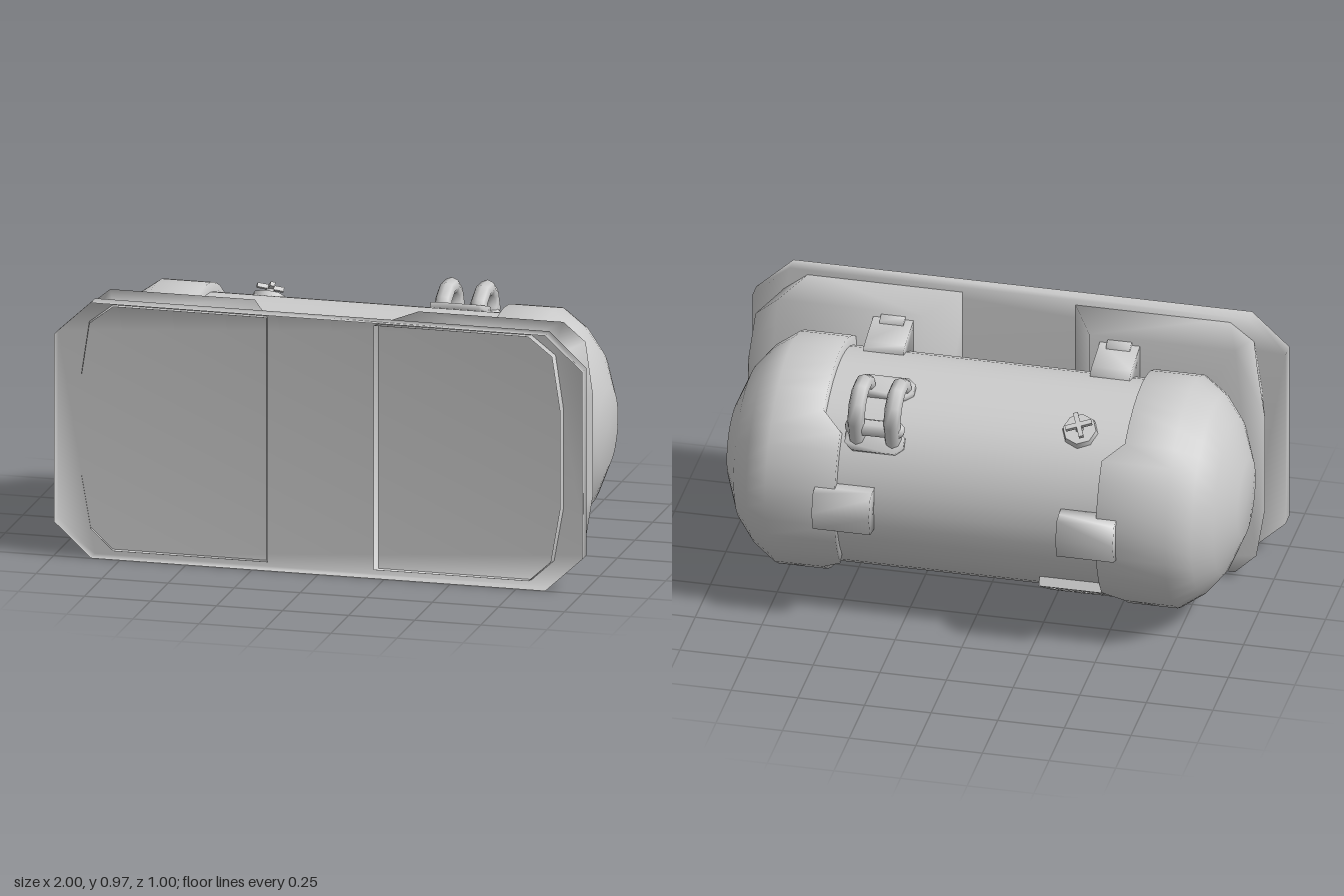
import * as THREE from 'three';
import { mergeVertices } from 'three/addons/utils/BufferGeometryUtils.js';

const CY = 0.485, CZ = -0.02, R = 0.395; // tank axis and radius

export function createModel() {
  const model = new THREE.Group();
  const solid = new THREE.MeshStandardMaterial({ color: 0xcccccc });
  const shell = new THREE.MeshStandardMaterial({ color: 0xcccccc, side: THREE.DoubleSide });

  const add = (name, geo, parent = model, mat = solid) => {
    const mesh = new THREE.Mesh(geo, mat);
    mesh.name = name;
    parent.add(mesh);
  };
  // Welds all corners so the shading runs softly over the edges
  const smooth = (geo) => {
    geo.deleteAttribute('normal');
    geo.deleteAttribute('uv');
    const g = mergeVertices(geo, 1e-4);
    g.computeVertexNormals();
    return g;
  };
  // Reflects a geometry across one axis and restores the winding
  const mirror = (geo, axis) => {
    const g = geo.clone();
    for (const a of [g.attributes.position, g.attributes.normal]) {
      for (let i = 0; i < a.count; i++) a.setComponent(i, axis, -a.getComponent(i, axis));
    }
    g.index.array.reverse();
    return g;
  };
  const addPair = (name, geo, mat) => {
    add('left' + name, geo, model, mat);
    add('right' + name, mirror(geo, 0), model, mat);
  };
  const toShape = (pts) => new THREE.Shape(pts.map(([x, y]) => new THREE.Vector2(x, y)));
  // Extrudes a [z, y] profile along x
  const extrudeX = (pts, x0, x1) =>
    smooth(new THREE.ExtrudeGeometry(toShape(pts), { depth: x1 - x0, bevelEnabled: false })
      .rotateY(-Math.PI / 2).translate(x1, 0, 0));
  // Thin-walled tray: an extruded outline from z0 to z1 without its front face
  const tray = (pts, z0, z1) => {
    const g = new THREE.ExtrudeGeometry(toShape(pts), { depth: z1 - z0, bevelEnabled: false })
      .translate(0, 0, z0);
    const p = g.attributes.position.array;
    const kept = [];
    for (let i = 0; i < p.length; i += 9) {
      if (Math.min(p[i + 2], p[i + 5], p[i + 8]) < z1 - 0.01) kept.push(...p.slice(i, i + 9));
    }
    return new THREE.BufferGeometry()
      .setAttribute('position', new THREE.Float32BufferAttribute(kept, 3));
  };
  // Group on the tank wall; angle runs from the top towards the back
  const mount = (name, x, deg) => {
    const a = THREE.MathUtils.degToRad(deg);
    const g = new THREE.Group();
    g.name = name;
    g.position.set(x, CY + R * Math.cos(a), CZ - R * Math.sin(a));
    g.rotation.x = -a;
    model.add(g);
    return g;
  };

  // Dished front plate
  add('frontPlate', smooth(tray([[-0.86, 0], [0.86, 0], [1, 0.13], [1, 0.84], [0.86, 0.97],
    [-0.86, 0.97], [-1, 0.84], [-1, 0.13]], 0.435, 0.498)), model, shell);

  // Mounting blocks lean outward towards the back; their front lips pierce the plate
  const blockGeo = tray([[0.2, 0.022], [0.785, 0.022], [0.87, 0.1], [0.905, 0.3], [0.905, 0.68],
    [0.875, 0.88], [0.785, 0.95], [0.2, 0.95]], 0.232, 0.46);
  const bp = blockGeo.attributes.position;
  for (let i = 0; i < bp.count; i++) {
    const x = bp.getX(i);
    if (bp.getZ(i) < 0.3) bp.setX(i, x + 0.11 - 0.045 * (x - 0.2) / 0.705);
  }
  addPair('MountingBlock', smooth(blockGeo), shell);

  // Tank body
  add('tankBody', new THREE.CylinderGeometry(R, R, 1.2, 36, 1, true)
    .rotateZ(-Math.PI / 2).translate(0, CY, CZ));

  // Domed end caps; the rim reaches further in at the back clip
  const capProfile = [[0.38, 0.56], [0.43, 0.565], [0.43, 0.75], [0.37, 0.835], [0.29, 0.9],
    [0.15, 0.958], [0, 0.962]].map(([r, x]) => new THREE.Vector2(r, x));
  const capGeo = new THREE.LatheGeometry(capProfile, 36).rotateZ(-Math.PI / 2);
  const cp = capGeo.attributes.position;
  for (let i = 0; i < cp.count; i++) {
    const r = Math.hypot(cp.getY(i), cp.getZ(i));
    if (cp.getX(i) < 0.57 && -cp.getZ(i) > r * Math.cos(0.72)) cp.setX(i, 0.49);
  }
  addPair('EndCap', smooth(capGeo).translate(0, CY, CZ));

  // Clips behind the cap rims
  addPair('BackClip', extrudeX([[-0.38, 0.575], [-0.44, 0.57], [-0.475, 0.56], [-0.497, 0.487],
    [-0.475, 0.413], [-0.44, 0.405], [-0.38, 0.4]], 0.35, 0.565));

  // Brackets joining the tank to the blocks, above and below, each with a raised stop
  const bracket = extrudeX([[0.07, 0.82], [0.3, 0.7], [0.3, 0.935], [0.235, 0.925],
    [0.1, 0.893], [0.07, 0.88]], 0.35, 0.5);
  const stop = extrudeX([[0.195, 0.88], [0.26, 0.88], [0.26, 0.935], [0.225, 0.938],
    [0.2, 0.925]], 0.38, 0.47);
  for (const [part, geo] of [['Bracket', bracket], ['BracketStop', stop]]) {
    addPair('Upper' + part, geo);
    addPair('Lower' + part, mirror(geo.clone().translate(0, -CY, 0), 1).translate(0, CY, 0));
  }

  // Carrying handle: two bent bars, a crossbar and foot pads
  const path = [[0.82, -0.16], [0.88, -0.175], [0.918, -0.25], [0.893, -0.325],
    [0.825, -0.36], [0.76, -0.34], [0.7, -0.32]].map(([y, z]) => new THREE.Vector3(0, y, z));
  const bar = new THREE.CurvePath();
  for (let i = 1; i < path.length; i++) bar.add(new THREE.LineCurve3(path[i - 1], path[i]));
  for (const x of [0.295, 0.43]) {
    add('handleBar', new THREE.TubeGeometry(bar, 7, 0.032, 8).translate(x, 0, 0));
  }
  add('handleCrossbar', new THREE.CapsuleGeometry(0.032, 0.16, 3, 8)
    .rotateZ(Math.PI / 2).translate(0.363, 0.785, -0.338));
  const padShape = toShape([[-0.11, -0.02], [-0.08, -0.045], [0.08, -0.045], [0.11, -0.02],
    [0.11, 0.02], [0.08, 0.045], [-0.08, 0.045], [-0.11, 0.02]]);
  for (const deg of [21, 52]) {
    add('handlePad', smooth(new THREE.ExtrudeGeometry(padShape, { depth: 0.03, bevelEnabled: false })
      .rotateX(-Math.PI / 2).translate(0, -0.012, 0)), mount('handleFoot', 0.363, deg));
  }

  // Valve with a cross-shaped grip
  const valve = mount('valve', -0.385, 34);
  add('valveBase', new THREE.CylinderGeometry(0.062, 0.07, 0.04, 8), valve);
  add('valveStem', new THREE.CylinderGeometry(0.015, 0.015, 0.05, 8).translate(0, 0.025, 0), valve);
  for (const a of [0.4, 0.4 + Math.PI / 2]) {
    add('valveGrip', new THREE.BoxGeometry(0.1, 0.016, 0.018).rotateY(a).translate(0, 0.05, 0), valve);
  }

  // Vent on the lower back: frame with three round slats
  const vent = mount('vent', -0.37, 148);
  for (const s of [-1, 1]) {
    add('ventFrameSide', new THREE.BoxGeometry(0.025, 0.05, 0.25).translate(s * 0.105, -0.01, 0), vent);
    add('ventFrameEnd', new THREE.BoxGeometry(0.185, 0.05, 0.03).translate(0, -0.01, s * 0.11), vent);
  }
  for (const x of [-0.058, 0, 0.058]) {
    add('ventSlat', new THREE.CylinderGeometry(0.025, 0.025, 0.2, 10).rotateX(Math.PI / 2)
      .translate(x, -0.008, 0), vent);
  }

  return model;
}
